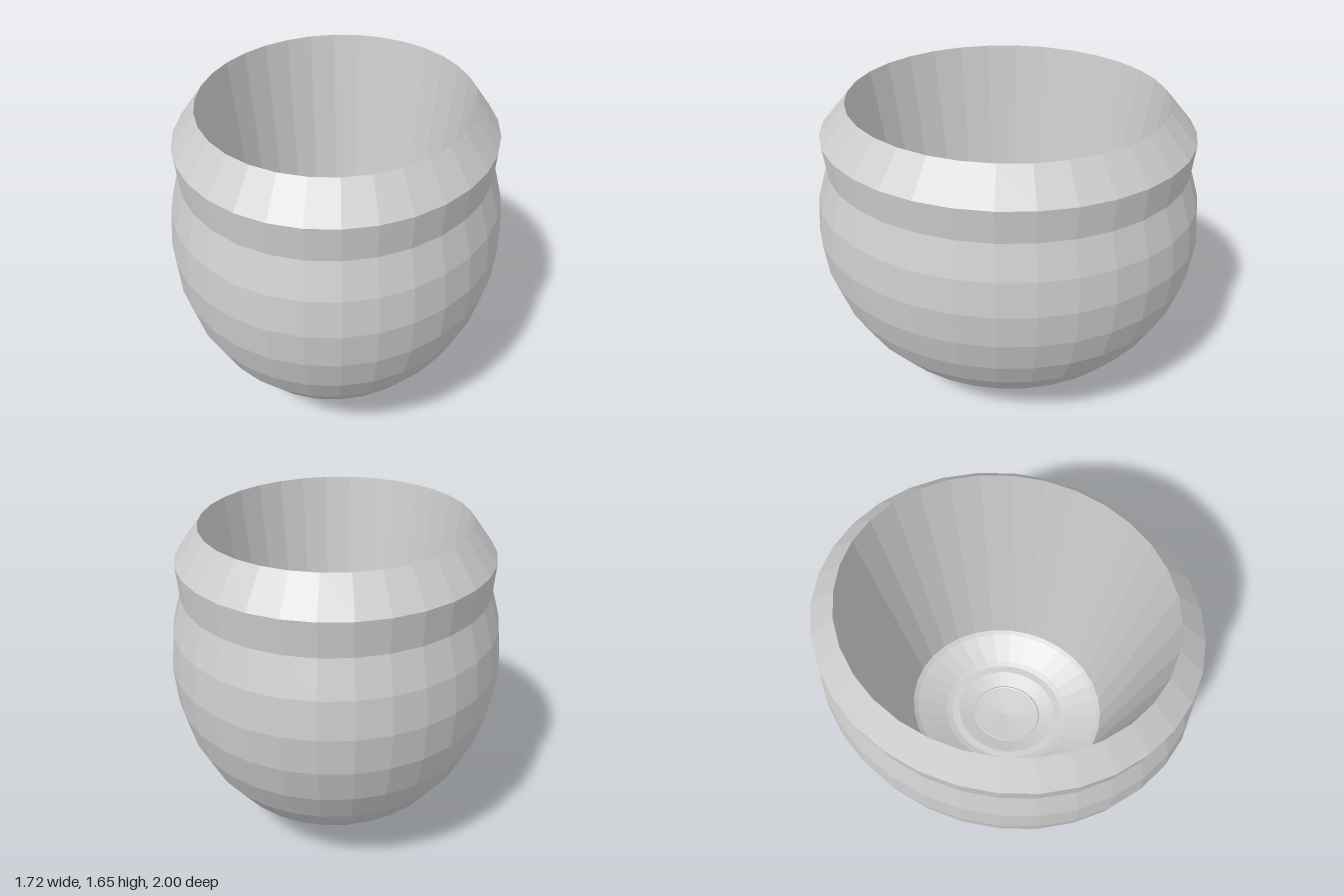
import * as THREE from 'three';

const SIDES = 32;
const STEP = Math.PI / 16;

// Faceted ring turned from [radius, height] points
function turned(name, points) {
  const geometry = new THREE.LatheGeometry(points.map(([r, y]) => new THREE.Vector2(r, y)), SIDES);
  const material = new THREE.MeshStandardMaterial({ color: 0xcccccc, flatShading: true, side: THREE.DoubleSide });
  const mesh = new THREE.Mesh(geometry, material);
  mesh.name = name;
  return mesh;
}

export function createModel() {
  const pot = new THREE.Group();
  pot.name = 'pot';

  // Round belly: an ellipsoid from the bottom pole up to the neck
  const belly = [];
  for (let i = -8; i <= 2; i++) {
    belly.push([Math.max(0, Math.cos(i * STEP)), 0.95 + 0.95 * Math.sin(i * STEP)]);
  }
  pot.add(turned('belly', belly));

  // Flared collar and bevelled shoulder leading to the mouth
  pot.add(turned('collar', [[0.924, 1.313], [0.94, 1.485], [0.8, 1.65]]));

  // Tapering inner wall, meeting the bowl floor
  pot.add(turned('innerWall', [[0.8, 1.65], [0.58, 0.18]]));

  // Low rounded foot ring with a shallow recess
  pot.add(turned('footRing', [
    [0.2, 0.03], [0.215, 0.014], [0.235, 0.009], [0.295, 0.009],
    [0.322, 0.016], [0.338, 0.035], [0.345, 0.068], [0.3, 0.068],
  ]));

  // Oval plan: narrower from side to side
  pot.scale.x = 0.862;
  const model = new THREE.Group();
  model.add(pot);
  return model;
}
